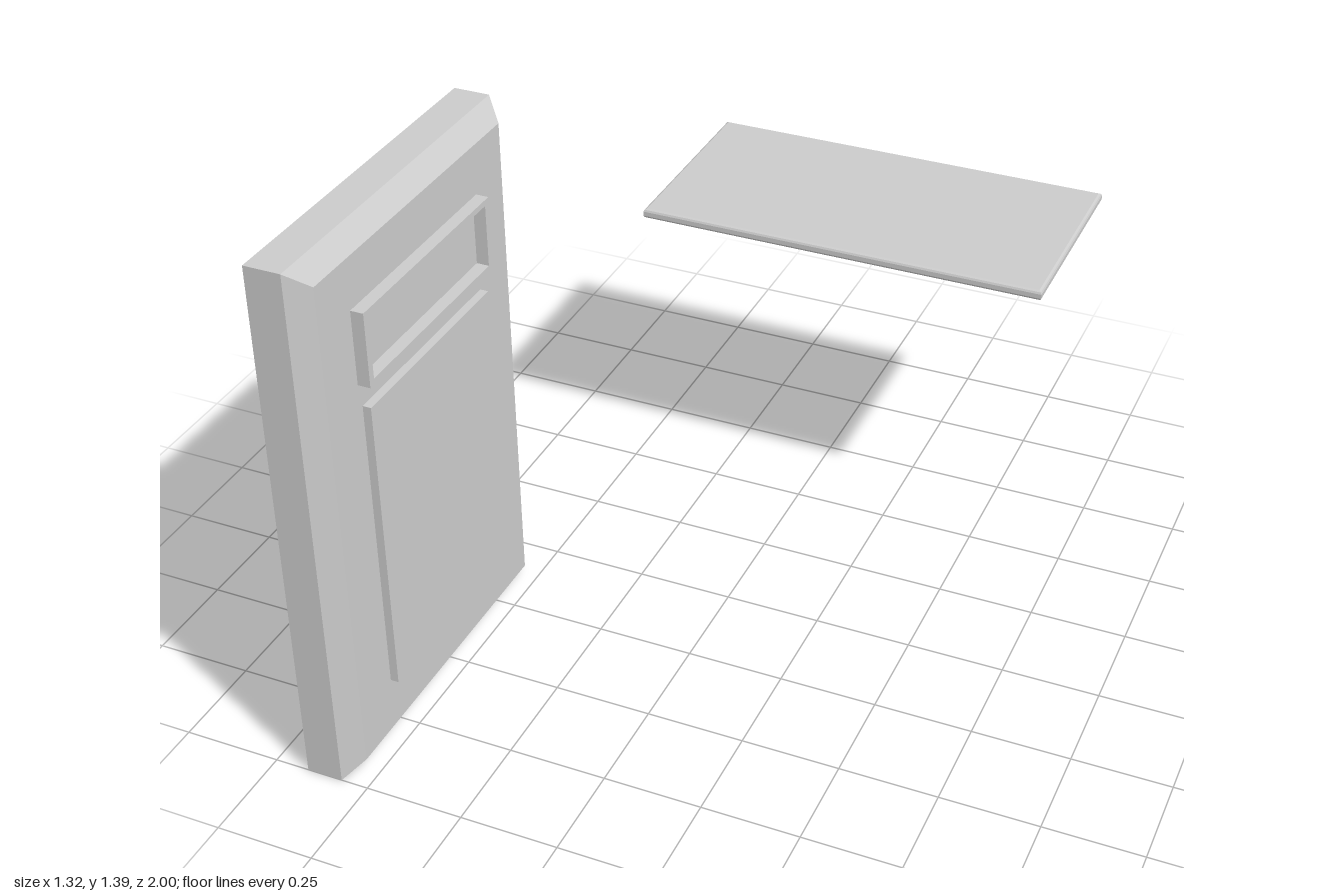
import * as THREE from 'three';

const material = new THREE.MeshStandardMaterial({ color: 0xcccccc, flatShading: true, side: THREE.DoubleSide });

// Solid slab stacked from rectangles along y; each section is [height, inset]
function slab(width, depth, sections) {
  const rings = sections.map(([y, inset]) => {
    const w = width / 2 - inset, d = depth / 2 - inset;
    return [[-w, y, d], [w, y, d], [w, y, -d], [-w, y, -d]];
  });
  const pos = [];
  const quad = (a, b, c, d) => pos.push(...a, ...b, ...c, ...a, ...c, ...d);
  for (let i = 0; i < rings.length - 1; i++) {
    for (let k = 0; k < 4; k++) {
      const n = (k + 1) % 4;
      quad(rings[i][k], rings[i][n], rings[i + 1][n], rings[i + 1][k]);
    }
  }
  quad(...rings[rings.length - 1]);
  quad(...[...rings[0]].reverse());
  const geometry = new THREE.BufferGeometry();
  geometry.setAttribute('position', new THREE.Float32BufferAttribute(pos, 3));
  geometry.computeVertexNormals();
  return geometry;
}

export function createModel() {
  const model = new THREE.Group();
  model.name = 'doorAndShelf';
  const add = (name, geometry, x, y, z) => {
    const mesh = new THREE.Mesh(geometry, material);
    mesh.name = name;
    mesh.position.set(x, y, z);
    model.add(mesh);
  };

  // Upright door panel with bevelled face towards +x
  add('doorPanel', slab(1.39, 0.905, [[0, 0], [0.092, 0], [0.138, 0.045]]).rotateZ(-Math.PI / 2), -0.662, 0.695, 0.5475);

  // Raised lower panel
  add('lowerPanel', new THREE.BoxGeometry(0.03, 0.784, 0.544), -0.518, 0.576, 0.548);

  // Thin rectangular moulding around the upper field
  const rectangle = (w, h, path) => path.moveTo(-w / 2, -h / 2).lineTo(w / 2, -h / 2).lineTo(w / 2, h / 2).lineTo(-w / 2, h / 2).closePath();
  const outline = rectangle(0.565, 0.19, new THREE.Shape());
  outline.holes.push(rectangle(0.53, 0.16, new THREE.Path()));
  const frame = new THREE.ExtrudeGeometry(outline, { depth: 0.036, bevelEnabled: false }).rotateY(Math.PI / 2);
  add('upperFrame', frame, -0.528, 1.124, 0.548);

  // Floating shelf with softly chamfered edges
  add('shelf', slab(1.088, 0.562, [
    [-0.014, 0.008], [-0.011, 0.0025], [-0.006, 0], [0.006, 0], [0.011, 0.0025], [0.014, 0.008],
  ]), 0.114, 0.831, -0.719);

  // Smooth the method-built paths away: keep only plain meshes
  return model;
}

// Path helpers return the path itself so outlines can be chained
